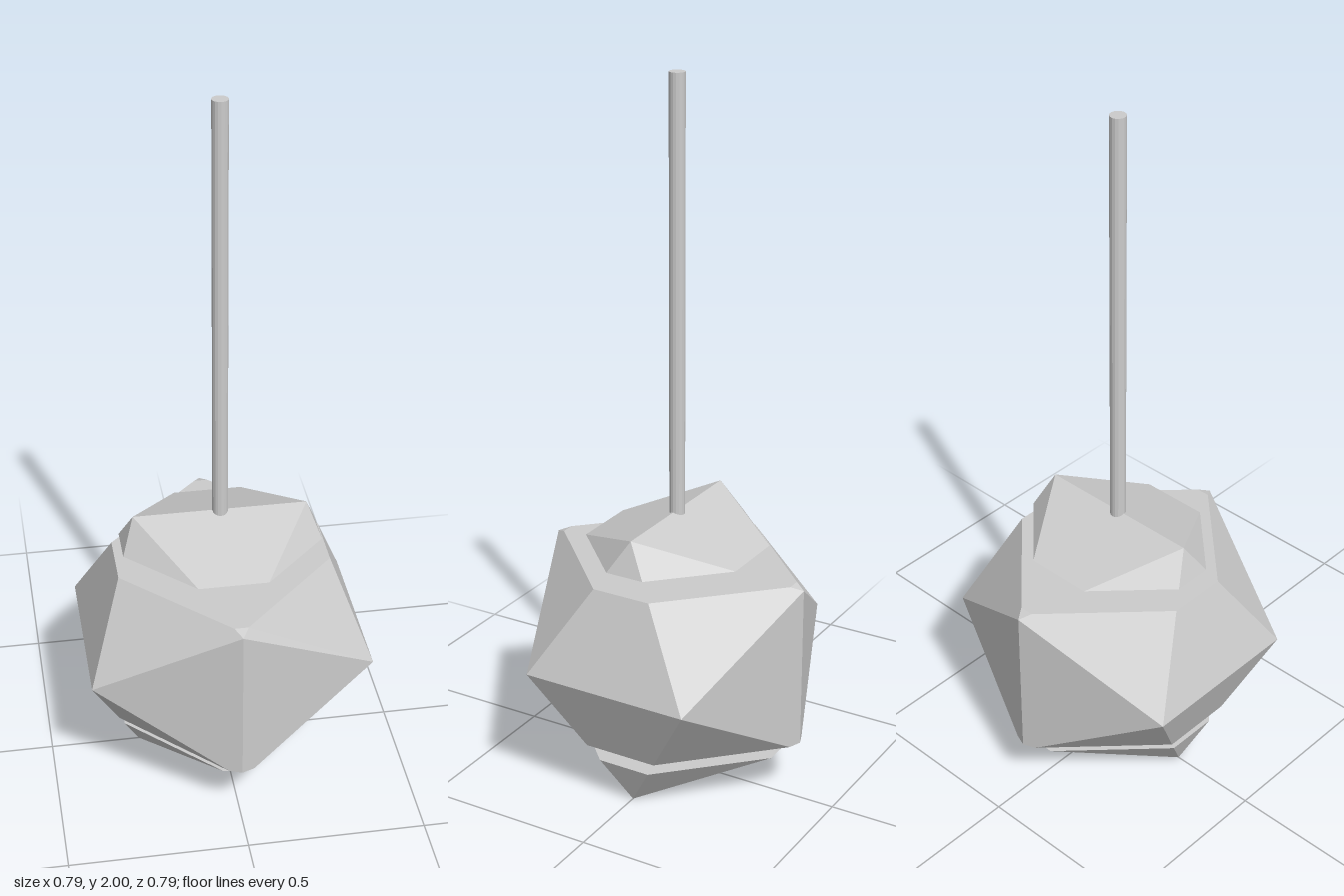
import * as THREE from 'three';
import { ConvexGeometry } from 'three/addons/geometries/ConvexGeometry.js';

const A = 0.395, B = 0.244; // half extents of the icosahedron's golden rectangles

// Corners of an icosahedron standing on one edge at y = 0
function icosahedronCorners() {
  const corners = [];
  for (const s of [-1, 1]) for (const t of [-1, 1]) {
    corners.push(
      new THREE.Vector3(s * B, A + t * A, 0),
      new THREE.Vector3(0, A + s * B, t * A),
      new THREE.Vector3(s * A, A, t * B)
    );
  }
  return corners;
}

// Closed horizontal slice of the icosahedron between two heights
function sliceGeometry(low, high) {
  const corners = icosahedronCorners();
  const points = corners.filter((p) => p.y > low && p.y < high);
  corners.forEach((p, i) => {
    for (const q of corners.slice(i + 1)) {
      if (p.distanceTo(q) > 2.2 * B) continue; // not an edge
      for (const y of [low, high]) {
        if ((p.y - y) * (q.y - y) < 0) {
          points.push(p.clone().lerp(q, (y - p.y) / (q.y - p.y)));
        }
      }
    }
  });
  return new ConvexGeometry(points);
}

export function createModel() {
  const group = new THREE.Group();
  const material = new THREE.MeshStandardMaterial({ color: 0xcccccc, flatShading: true });

  const add = (name, geometry) => {
    const mesh = new THREE.Mesh(geometry, material);
    mesh.name = name;
    group.add(mesh);
    return mesh;
  };

  // Faceted body split into three slices by two gaps
  add('bottomSlice', sliceGeometry(-1, 0.125));
  add('middleSlice', sliceGeometry(0.173, 0.651));
  add('topSlice', sliceGeometry(0.699, 1));

  // Rod rising from the top slice
  const rodBottom = 0.695, rodTop = 2;
  const rod = add('rod', new THREE.CylinderGeometry(0.022, 0.022, rodTop - rodBottom, 16));
  rod.position.y = (rodBottom + rodTop) / 2;

  return group;
}
